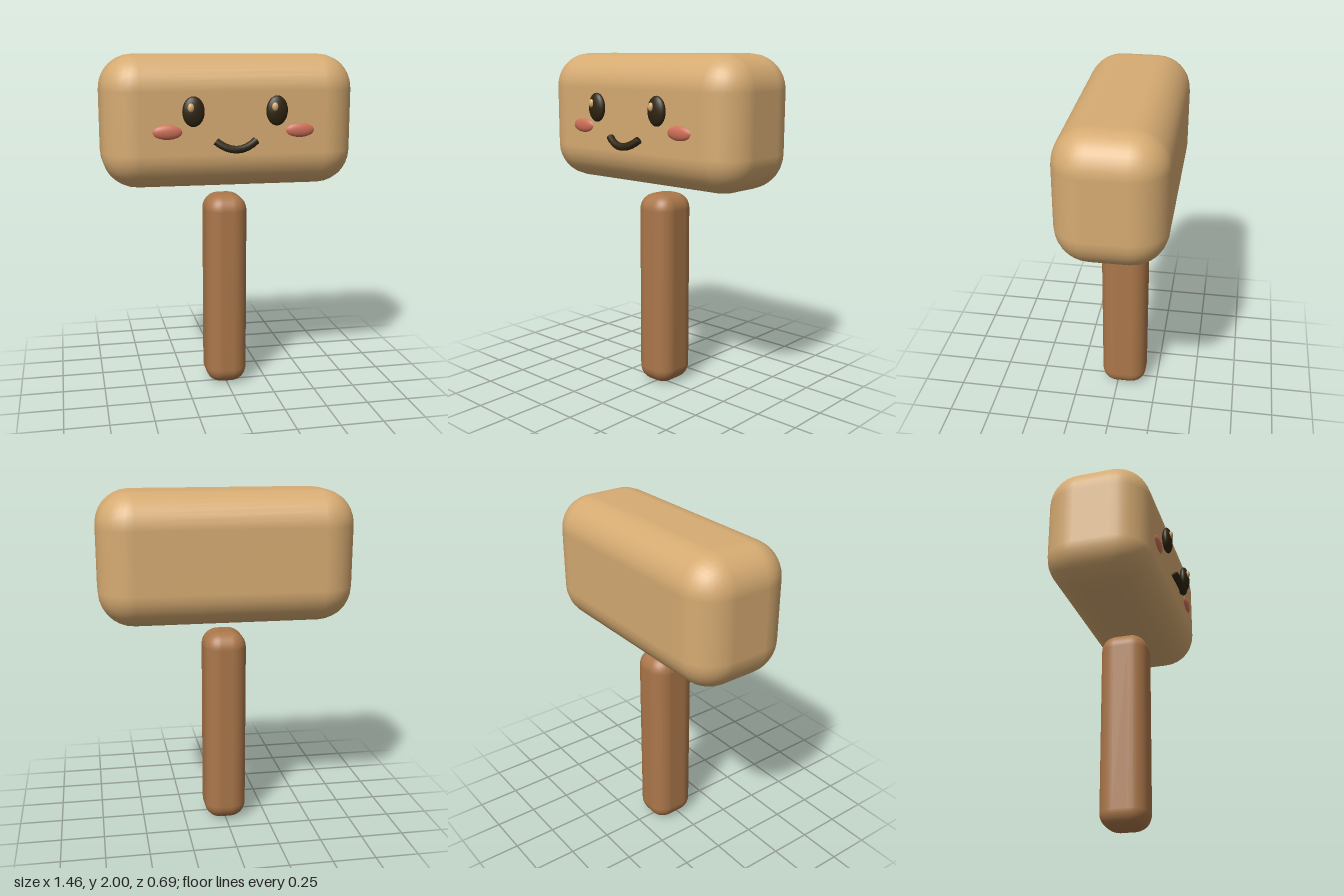
import * as THREE from 'three';
import { RoundedBoxGeometry } from 'three/addons/geometries/RoundedBoxGeometry.js';

function material(name, color) {
  const m = new THREE.MeshStandardMaterial({ color });
  m.name = name;
  return m;
}

export function createModel() {
  const tan = material('tan wood', 0xd6ab72);
  const brown = material('brown wood', 0xab774a);
  const dark = material('dark brown', 0x2f2410);
  const pink = material('blush pink', 0xcf6f58);

  const model = new THREE.Group();
  model.name = 'mallet';

  function add(name, geometry, mat, x, y, z) {
    const mesh = new THREE.Mesh(geometry, mat);
    mesh.name = name;
    mesh.position.set(x, y, z);
    model.add(mesh);
    return mesh;
  }

  // Flattened ball used for the face details
  function ellipsoid(name, mat, pos, radii) {
    const geometry = new THREE.SphereGeometry(1, 20, 14);
    geometry.scale(...radii);
    return add(name, geometry, mat, ...pos);
  }

  // Head block and handle, separated by a small gap
  add('head', new RoundedBoxGeometry(1.456, 0.75, 0.61, 4, 0.2), tan, 0, 1.625, -0.04);
  add('handle', new RoundedBoxGeometry(0.25, 1.18, 0.28, 4, 0.095), brown, 0, 0.59, -0.038);

  // Eyes, highlights and cheeks
  for (const [label, s] of [['left', 1], ['right', -1]]) {
    ellipsoid(label + 'Eye', dark, [s * 0.235, 1.693, 0.288], [0.062, 0.083, 0.03]);
    ellipsoid(label + 'EyeHighlight', tan, [s * 0.235 - 0.018, 1.716, 0.314], [0.018, 0.024, 0.014]);
    ellipsoid(label + 'Cheek', pink, [s * 0.376, 1.58, 0.26], [0.085, 0.041, 0.022]);
  }

  // Smiling mouth, floating just ahead of the face
  const smile = new THREE.QuadraticBezierCurve3(
    new THREE.Vector3(-0.113, 1.53, 0.3),
    new THREE.Vector3(0, 1.438, 0.343),
    new THREE.Vector3(0.113, 1.53, 0.3)
  );
  add('mouth', new THREE.TubeGeometry(smile, 8, 0.022, 10), dark, 0, 0, 0);

  // Discs closing the mouth ends
  for (const t of [0, 1]) {
    const cap = add('mouthEnd', new THREE.CircleGeometry(0.022, 10), dark, 0, 0, 0);
    const outward = smile.getTangent(t).multiplyScalar(t ? 1 : -1);
    cap.position.copy(smile.getPoint(t));
    cap.quaternion.setFromUnitVectors(new THREE.Vector3(0, 0, 1), outward);
  }

  return model;
}
